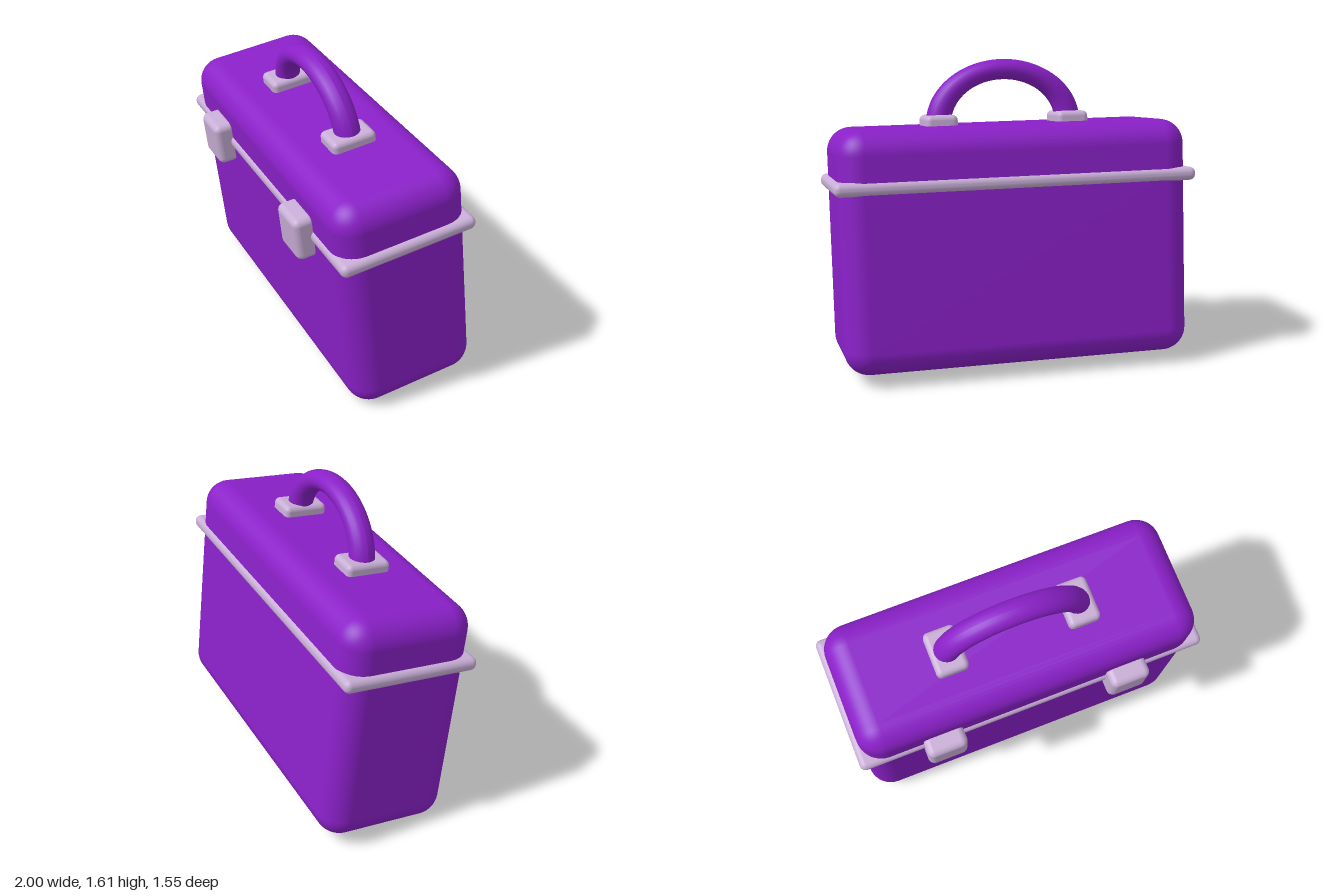
import * as THREE from 'three';
import { RoundedBoxGeometry } from 'three/addons/geometries/RoundedBoxGeometry.js';

const purple = new THREE.MeshStandardMaterial({ color: 0x8a20c8 });
purple.name = 'purple plastic';
const lilac = new THREE.MeshStandardMaterial({ color: 0xc8aed6 });
lilac.name = 'pale lilac fittings';

const WIDTH = 1.85, DEPTH = 0.7, CORNER = 0.13;
const SEAM = 0.965, TOP = 1.255;

function add(parent, name, geometry, material, x = 0, y = 0, z = 0) {
  const mesh = new THREE.Mesh(geometry, material);
  mesh.name = name;
  mesh.position.set(x, y, z);
  parent.add(mesh);
  return mesh;
}

// Rounded shell with a flat open end: the rounding past the end is pressed flat
function shell(height, flatSide) {
  const full = height + CORNER;
  const g = new RoundedBoxGeometry(WIDTH, full, DEPTH, 6, CORNER);
  const limit = full / 2 - CORNER;
  const p = g.attributes.position;
  for (let i = 0; i < p.count; i++) {
    if (p.getY(i) * flatSide > limit) p.setY(i, limit * flatSide);
  }
  g.translate(0, -limit * flatSide, 0); // flat end at the seam
  return g;
}

export function createModel() {
  const model = new THREE.Group();
  model.name = 'lunchBox';

  // The whole box is turned and leans forward
  const box = new THREE.Group();
  box.name = 'tiltedBox';
  box.rotation.set(0.11, -0.501, 0, 'YXZ');
  box.position.set(0.051, 0.036, -0.093);
  model.add(box);

  // Body, lid and the rim between them
  add(box, 'body', shell(SEAM, 1), purple, 0, SEAM, 0);
  add(box, 'lid', shell(TOP - SEAM, -1), purple, 0, SEAM, 0);
  add(box, 'rim', new RoundedBoxGeometry(1.91, 0.07, 0.73, 4, 0.032), lilac, 0, SEAM, 0);

  // Latches on the front and mounts under the handle
  for (const side of [-1, 1]) {
    const label = side > 0 ? 'left' : 'right';
    add(box, label + 'Latch', new RoundedBoxGeometry(0.215, 0.24, 0.12, 4, 0.035), lilac,
      side * 0.505, 0.96, 0.385);
    add(box, label + 'HandleMount', new RoundedBoxGeometry(0.17, 0.09, 0.24, 4, 0.028), lilac,
      side * 0.355, 1.265, 0);
  }

  // Arched handle, slightly flattened
  const arch = new THREE.TorusGeometry(0.355, 0.067, 20, 48, Math.PI);
  arch.scale(1, 0.8, 1);
  arch.computeVertexNormals();
  add(box, 'handle', arch, purple, 0, 1.257, 0);

  return model;
}
